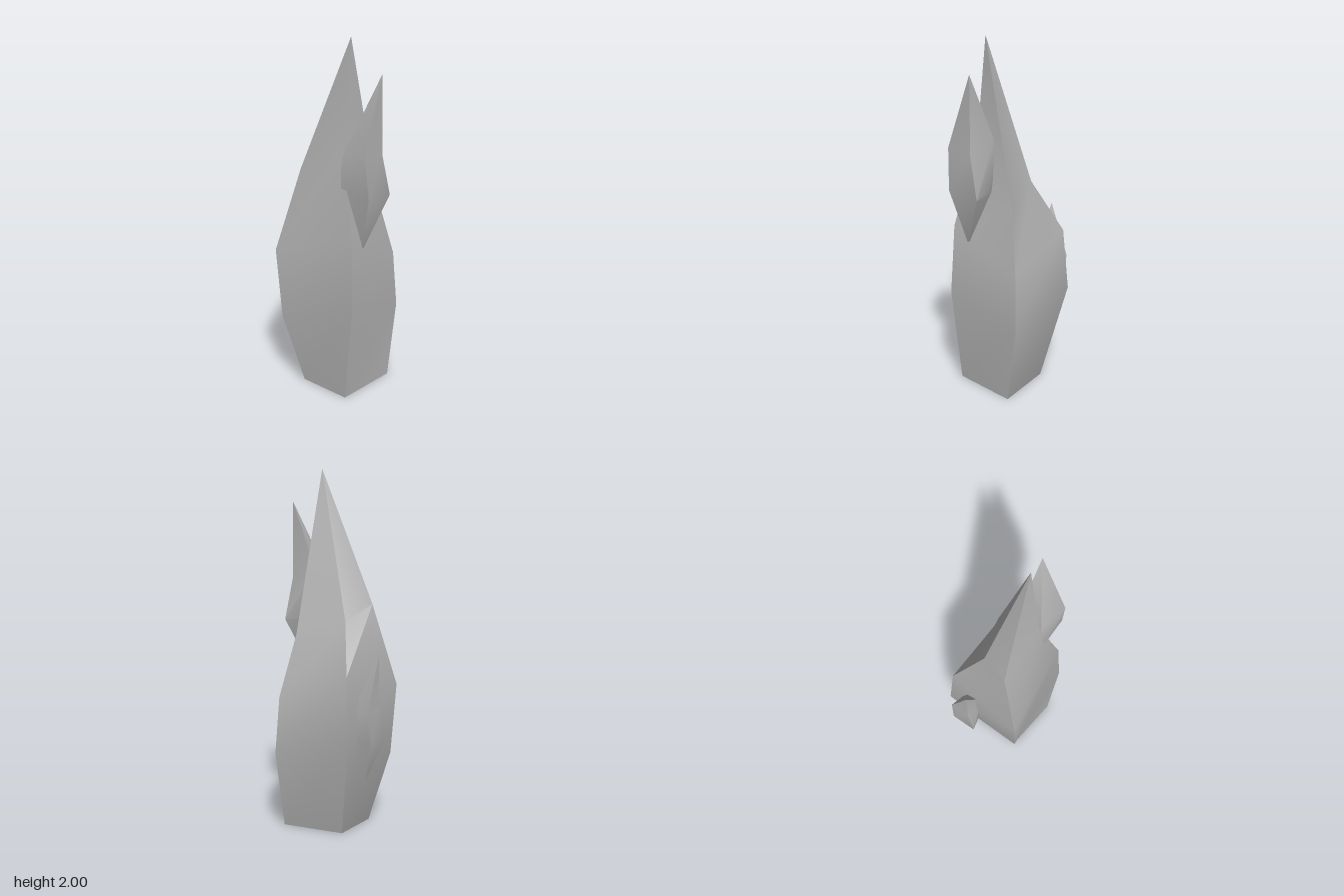
import * as THREE from 'three';
import { toCreasedNormals } from 'three/addons/utils/BufferGeometryUtils.js';

// Four-cornered tapering shard: rings of [front, right, back, left] corners, closed below, pointed above
function shard(rings, tip) {
  const points = [...rings.flat(), tip];
  const index = [0, 3, 2, 0, 2, 1];
  const last = rings.length - 1;
  for (let r = 0; r <= last; r++) {
    for (let i = 0; i < 4; i++) {
      const a = r * 4 + i, b = r * 4 + ((i + 1) % 4);
      if (r === last) index.push(a, b, points.length - 1);
      else index.push(a, b, b + 4, a, b + 4, a + 4);
    }
  }
  const geometry = new THREE.BufferGeometry();
  geometry.setAttribute('position', new THREE.Float32BufferAttribute(points.flat(), 3));
  geometry.setIndex(index);
  return toCreasedNormals(geometry, 0.6);
}

export function createModel() {
  const stone = new THREE.MeshStandardMaterial({ color: 0xb4b4b4 });
  stone.name = 'grey stone';
  const model = new THREE.Group();

  // Tall main spire
  const spire = new THREE.Mesh(shard([
    [[0, 0, 0.28], [0.29, 0, 0.03], [0, 0, -0.18], [-0.2, 0, 0.03]],
    [[0.03, 0.55, 0.335], [0.345, 0.43, -0.01], [0, 0.55, -0.333], [-0.32, 0.4, 0]],
    [[0.03, 0.95, 0.31], [0.32, 0.75, -0.01], [0, 0.9, -0.3], [-0.35, 0.8, -0.01]],
    [[0, 1.4, 0.18], [0.22, 1.1, 0], [-0.03, 1.18, -0.12], [-0.2, 1.26, -0.04]],
  ], [0.05, 2, 0.13]), stone);
  spire.name = 'mainSpire';
  model.add(spire);

  // Side shard, modelled around its own axis with the lower ring at y = 0
  const sideGeometry = shard([
    [[0, -0.29, 0.03], [0.01, -0.29, 0.02], [0, -0.29, 0.01], [-0.01, -0.29, 0.02]],
    [[0.015, 0.01, 0.125], [0.155, -0.01, -0.02], [0.01, 0, -0.11], [-0.13, 0.01, -0.02]],
    [[-0.01, 0.24, 0.125], [0.105, 0.22, 0.01], [0, 0.28, -0.12], [-0.1, 0.22, -0.02]],
  ], [0.1, 0.65, 0.01]);

  // The same shard on the front, and a smaller one turned round on the back
  const frontShard = new THREE.Mesh(sideGeometry, stone);
  frontShard.name = 'frontShard';
  frontShard.position.set(0.1, 1.17, 0.21);
  model.add(frontShard);

  const backShard = new THREE.Mesh(sideGeometry, stone);
  backShard.name = 'backShard';
  backShard.position.set(-0.115, 0.54, -0.245);
  backShard.rotation.y = Math.PI;
  backShard.scale.setScalar(0.71);
  model.add(backShard);

  return model;
}
